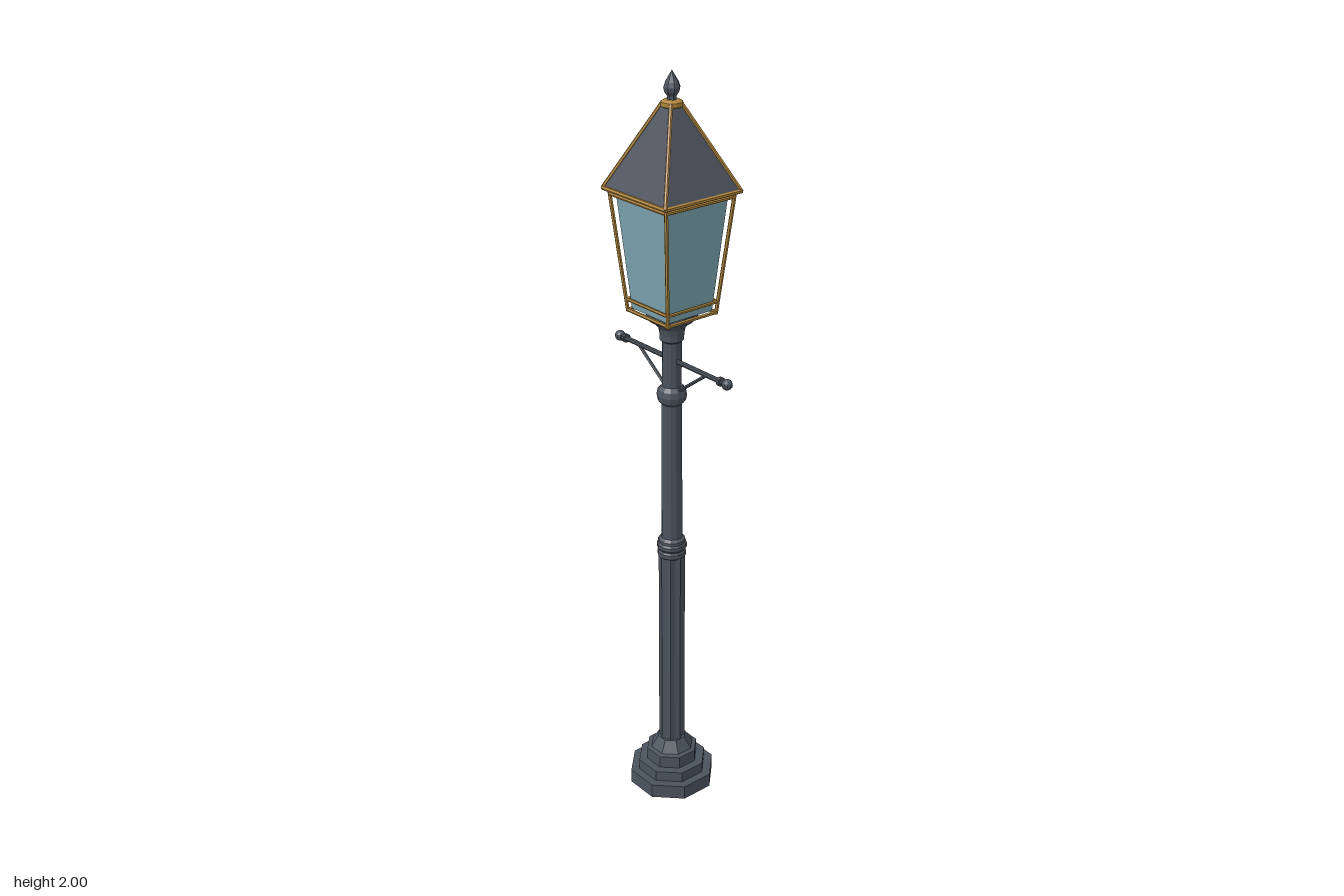
import * as THREE from 'three';

export function createModel() {
  const model = new THREE.Group();
  model.name = 'streetLamp';

  const paint = (name, color) => {
    const m = new THREE.MeshStandardMaterial({ color });
    m.name = name;
    return m;
  };
  const iron = paint('iron', 0x4a535d);
  const slate = paint('roofSlate', 0x4e545f);
  const brass = paint('brass', 0xb0853c);
  const glass = paint('glass', 0x7ba3b0);

  // Faceted mesh
  const add = (name, geometry, material, parent = model) => {
    const g = geometry.index ? geometry.toNonIndexed() : geometry;
    g.computeVertexNormals();
    const mesh = new THREE.Mesh(g, material);
    mesh.name = name;
    parent.add(mesh);
    return mesh;
  };
  // Turned part from [radius, y] pairs, listed from bottom to top
  const turned = (name, points, sides, material = iron) => {
    const g = new THREE.LatheGeometry(points.map(([r, y]) => new THREE.Vector2(r, y)), sides);
    g.rotateY(Math.PI / sides);
    return add(name, g, material);
  };
  // Straight rod between two points
  const rod = (name, a, b, radius, material, parent = model, sides = 6) => {
    const from = new THREE.Vector3(...a), to = new THREE.Vector3(...b);
    const dir = to.clone().sub(from);
    const mesh = add(name, new THREE.CylinderGeometry(radius, radius, dir.length(), sides), material, parent);
    mesh.position.copy(from).add(to).multiplyScalar(0.5);
    mesh.quaternion.setFromUnitVectors(new THREE.Vector3(0, 1, 0), dir.normalize());
    return mesh;
  };
  // Four-sided frustum given by half widths
  const frustum = (name, top, bottom, y0, y1, material) => {
    const g = new THREE.CylinderGeometry(top * Math.SQRT2, bottom * Math.SQRT2, y1 - y0, 4);
    g.rotateY(Math.PI / 4);
    g.translate(0, (y0 + y1) / 2, 0);
    return add(name, g, material);
  };
  const corners = [[1, 1], [1, -1], [-1, -1], [-1, 1]];
  // Square rail
  const rail = (name, half, y, radius) => {
    const group = new THREE.Group();
    group.name = name;
    model.add(group);
    corners.forEach(([x, z], i) => {
      const [x2, z2] = corners[(i + 1) % 4];
      rod(name + 'Bar', [x * half, y, z * half], [x2 * half, y, z2 * half], radius, brass, group);
    });
  };

  // Stepped octagonal base
  const oct = 1 / Math.cos(Math.PI / 8);
  turned('base', [[0, 0], [0.11, 0], [0.11, 0.04], [0.088, 0.04], [0.088, 0.07], [0.066, 0.07],
    [0.066, 0.105], [0.055, 0.108], [0.036, 0.14], [0, 0.14]].map(([r, y]) => [r * oct, y]), 8);

  // Fluted lower shaft
  const flutes = new THREE.Shape();
  for (let i = 0; i < 48; i++) {
    const a = (i / 48) * Math.PI * 2;
    const r = 0.035 - 0.005 * Math.abs(Math.sin(a * 4));
    if (i) flutes.lineTo(r * Math.cos(a), r * Math.sin(a));
    else flutes.moveTo(r, 0);
  }
  const shaft = new THREE.ExtrudeGeometry(flutes, { depth: 0.6, bevelEnabled: false });
  shaft.rotateX(-Math.PI / 2);
  shaft.translate(0, 0.125, 0);
  add('lowerShaft', shaft, iron);

  // Middle collar, upper pole, knuckle and lantern cup
  turned('middleCollar', [[0.03, 0.712], [0.038, 0.718], [0.038, 0.73], [0.034, 0.734], [0.04, 0.742],
    [0.04, 0.752], [0.036, 0.757], [0.036, 0.765], [0.028, 0.772]], 12);
  turned('upperPole', [[0.028, 0.76], [0.026, 1.17]], 12);
  turned('knuckle', [[0.026, 1.155], [0.036, 1.165], [0.039, 1.18], [0.036, 1.195], [0.026, 1.205]], 12);
  turned('neck', [[0.025, 1.2], [0.025, 1.325], [0.031, 1.33], [0.031, 1.345], [0.034, 1.362],
    [0.045, 1.375], [0.06, 1.385], [0.066, 1.395], [0.066, 1.404], [0, 1.404]], 12);

  // Ladder bar with end balls, collars and braces
  rod('ladderBar', [-0.205, 1.275, 0], [0.205, 1.275, 0], 0.0065, iron, model, 8);
  for (const s of [-1, 1]) {
    const ball = add('ladderBarBall', new THREE.SphereGeometry(0.014, 10, 8), iron);
    ball.position.set(s * 0.208, 1.275, 0);
    rod('ladderBarCollar', [s * 0.18, 1.275, 0], [s * 0.188, 1.275, 0], 0.012, iron, model, 10);
    rod('brace', [s * 0.025, 1.195, 0], [s * 0.13, 1.273, 0], 0.0045, iron);
  }

  // Lantern glass and brass frame
  frustum('lanternGlass', 0.096, 0.07, 1.408, 1.71, glass);
  rail('bottomRail', 0.077, 1.404, 0.005);
  rail('lowerRail', 0.079, 1.432, 0.0045);
  rail('topRail', 0.106, 1.7, 0.005);
  for (const [x, z] of corners) {
    rod('cornerPost', [x * 0.077, 1.4, z * 0.077], [x * 0.107, 1.712, z * 0.107], 0.005, brass);
  }

  // Roof with eaves rail and hip bars
  frustum('roof', 0.015, 0.119, 1.712, 1.925, slate);
  rail('eavesRail', 0.118, 1.714, 0.0055);
  for (const [x, z] of corners) {
    rod('hipBar', [x * 0.118, 1.714, z * 0.118], [x * 0.015, 1.925, z * 0.015], 0.005, brass);
  }

  // Crown ring and finial
  turned('crownRing', [[0.02, 1.912], [0.027, 1.916], [0.027, 1.926], [0.019, 1.931], [0, 1.931]], 12, brass);
  turned('finial', [[0.012, 1.925], [0.012, 1.94], [0.019, 1.95], [0.021, 1.96], [0.017, 1.972],
    [0.009, 1.985], [0, 2]], 8);

  return model;
}
